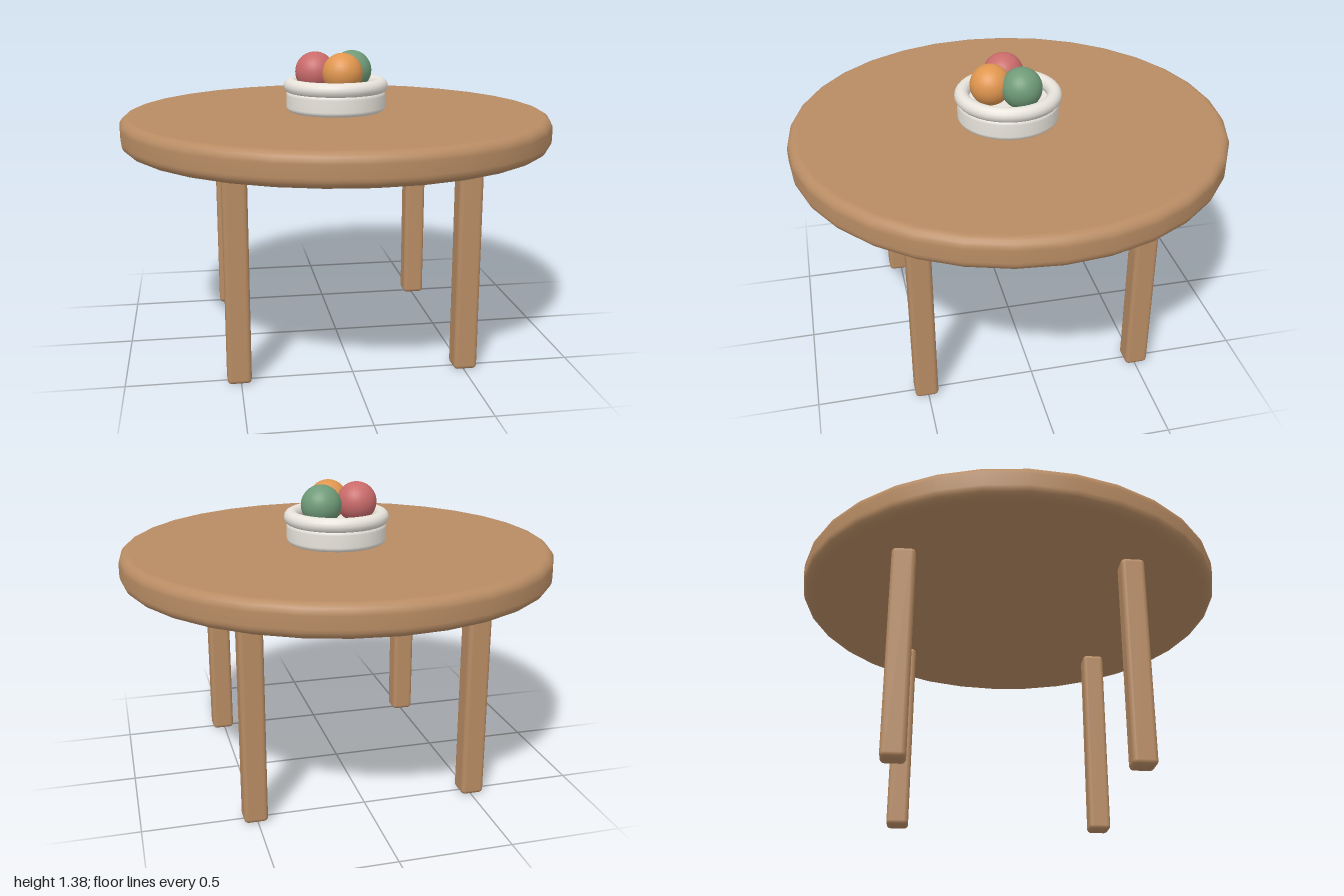
import * as THREE from 'three';
import { RoundedBoxGeometry } from 'three/addons/geometries/RoundedBoxGeometry.js';

const paint = (color) => new THREE.MeshStandardMaterial({ color });

// Solid disc with rounded upper and lower edges, standing on y = 0
function roundedDisc(radius, height, bevel, segments) {
  const points = [new THREE.Vector2(0, 0)];
  const steps = 5;
  for (const [cy, start] of [[bevel, -Math.PI / 2], [height - bevel, 0]]) {
    for (let i = 0; i <= steps; i++) {
      const a = start + (i / steps) * Math.PI / 2;
      points.push(new THREE.Vector2(radius - bevel + bevel * Math.cos(a), cy + bevel * Math.sin(a)));
    }
  }
  points.push(new THREE.Vector2(0, height));
  const geometry = new THREE.LatheGeometry(points, segments);
  // Keep the flat faces flat: point their normals straight up or down
  const { position, normal } = geometry.attributes;
  for (let i = 0; i < position.count; i++) {
    const y = position.getY(i);
    if (y < 1e-5) normal.setXYZ(i, 0, -1, 0);
    else if (y > height - 1e-5) normal.setXYZ(i, 0, 1, 0);
  }
  return geometry;
}

export function createModel() {
  const model = new THREE.Group();
  model.name = 'roundTable';
  const wood = paint(0xb88c64);
  const ceramic = paint(0xe8e4dc);

  function add(parent, name, geometry, material, x, y, z) {
    const mesh = new THREE.Mesh(geometry, material);
    mesh.name = name;
    mesh.position.set(x, y, z);
    parent.add(mesh);
    return mesh;
  }

  // Table top
  add(model, 'tableTop', roundedDisc(1, 0.145, 0.045, 32), wood, 0, 0.96, 0);

  // Four legs
  const legGeometry = new RoundedBoxGeometry(0.106, 0.962, 0.106, 3, 0.02);
  for (const [x, side] of [[0.507, 'Left'], [-0.507, 'Right']]) {
    for (const [z, end] of [[0.507, 'front'], [-0.507, 'back']]) {
      add(model, `${end}${side}Leg`, legGeometry, wood, x, 0.481, z);
    }
  }

  // Bowl: shallow base with a thick round rim
  const bowl = new THREE.Group();
  bowl.name = 'fruitBowl';
  model.add(bowl);
  add(bowl, 'bowlBase', roundedDisc(0.232, 0.1, 0.022, 32), ceramic, 0, 1.105, 0);
  const rim = add(bowl, 'bowlRim', new THREE.TorusGeometry(0.21, 0.034, 14, 40), ceramic, 0, 1.225, 0);
  rim.rotation.x = Math.PI / 2;

  // Fruit
  const fruitGeometry = new THREE.SphereGeometry(0.093, 28, 20);
  const fruits = [
    ['redFruit', 0xc96a6a, -0.097, 0],
    ['greenFruit', 0x6f9a78, 0.083, -0.043],
    ['orangeFruit', 0xe0964f, 0.018, 0.085],
  ];
  for (const [name, color, x, z] of fruits) {
    add(bowl, name, fruitGeometry, paint(color), x, 1.289, z);
  }

  return model;
}
